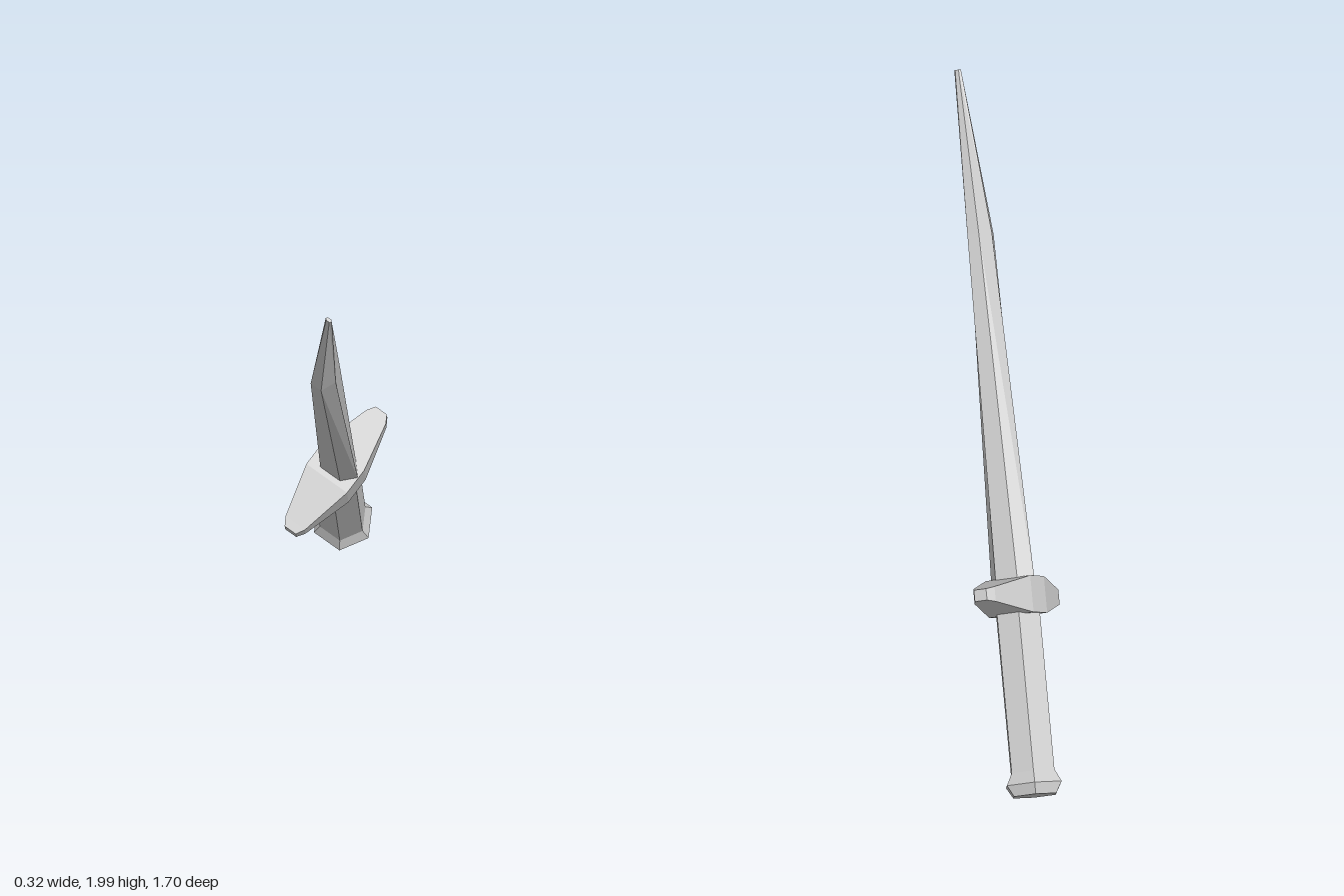
import * as THREE from 'three';

const material = new THREE.MeshStandardMaterial({ color: 0xcccccc, flatShading: true });

// Skin a list of equal-sized rings and close both ends
function loft(name, rings) {
  const n = rings[0].length;
  const index = [];
  for (let r = 0; r < rings.length - 1; r++) {
    for (let i = 0; i < n; i++) {
      const j = (i + 1) % n, a = r * n, b = a + n;
      index.push(a + i, b + i, b + j, a + i, b + j, a + j);
    }
  }
  const last = (rings.length - 1) * n;
  for (let i = 1; i < n - 1; i++) {
    index.push(0, i, i + 1, last, last + i + 1, last + i);
  }
  const geometry = new THREE.BufferGeometry();
  geometry.setAttribute('position', new THREE.Float32BufferAttribute(rings.flat(2), 3));
  geometry.setIndex(index);
  const flat = geometry.toNonIndexed();
  flat.computeVertexNormals();
  const mesh = new THREE.Mesh(flat, material);
  mesh.name = name;
  return mesh;
}

// Six-sided ring across the dagger: flat edges at x0 and x1, ridges at +-depth in z
function hexRing(y, x0, x1, depth) {
  const mid = (x0 + x1) / 2, h = depth / 2;
  return [[x1, y, -h], [x1, y, h], [mid, y, depth], [x0, y, h], [x0, y, -h], [mid, y, -depth]];
}

function regularRing(y, radius) {
  const flat = radius * Math.cos(Math.PI / 6);
  return hexRing(y, -flat, flat, radius);
}

// Rectangular ring across the guard
function guardRing(x, h, d) {
  return [[x, h, d], [x, h, -d], [x, -h, -d], [x, -h, d]];
}

export function createModel() {
  const dagger = new THREE.Group();
  dagger.name = 'dagger';

  // Single-edged blade: the spine runs straight, the edge sweeps up to the tip
  dagger.add(loft('blade', [
    hexRing(0.03, -0.03, 0.062, 0.086),
    hexRing(1.265, -0.037, 0.072, 0.045),
    hexRing(1.838, 0.068, 0.08, 0.013),
  ]));

  // Hexagonal grip
  dagger.add(loft('grip', [regularRing(-0.63, 0.086), regularRing(-0.03, 0.086)]));

  // Flared pommel
  dagger.add(loft('pommel', [
    regularRing(-0.694, 0.085),
    regularRing(-0.655, 0.11),
    regularRing(-0.612, 0.086),
  ]));

  // Crossguard, thick in the middle and tapering to chamfered ends
  const half = [[0.05, 0.064, 0.088], [0.235, 0.026, 0.042], [0.265, 0.02, 0.024]];
  dagger.add(loft('crossguard', [
    ...half.slice().reverse().map(([x, h, d]) => guardRing(-x, h, d)),
    ...half.map(([x, h, d]) => guardRing(x, h, d)),
  ]));

  // Tilt: local y runs to the tip, local x along the guard
  const along = new THREE.Vector3(0.046, 0.747, 0.663).normalize();
  const side = new THREE.Vector3(0.52, 0.57, -0.64).cross(along).normalize();
  const across = along.clone().cross(side);
  dagger.quaternion.setFromRotationMatrix(new THREE.Matrix4().makeBasis(across, along, side));
  dagger.position.set(0, 0.585, -0.327);

  const model = new THREE.Group();
  model.name = 'model';
  model.add(dagger);
  return model;
}
